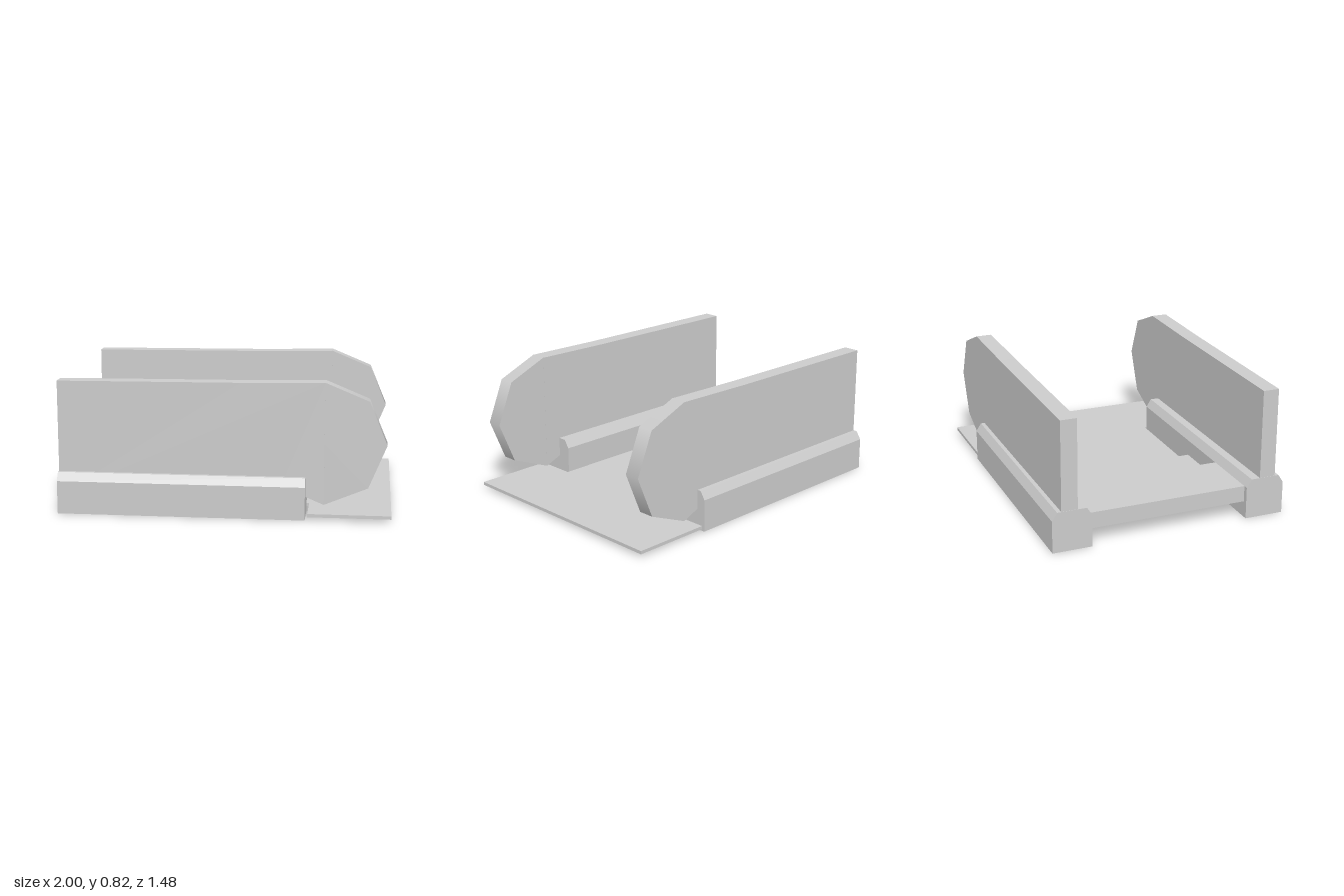
import * as THREE from 'three';

const material = new THREE.MeshStandardMaterial({ color: 0xcccccc });

function add(parent, name, geometry) {
  const mesh = new THREE.Mesh(geometry, material);
  mesh.name = name;
  parent.add(mesh);
  return mesh;
}

// Box given by its minimum and maximum corners
function slab(parent, name, [x0, y0, z0], [x1, y1, z1]) {
  const geometry = new THREE.BoxGeometry(x1 - x0, y1 - y0, z1 - z0);
  geometry.translate((x0 + x1) / 2, (y0 + y1) / 2, (z0 + z1) / 2);
  return add(parent, name, geometry);
}

// Flat outline pushed along z, centred on z = 0
function extrude(points, depth) {
  const shape = new THREE.Shape(points.map(([x, y]) => new THREE.Vector2(x, y)));
  const geometry = new THREE.ExtrudeGeometry(shape, { depth, bevelEnabled: false });
  return geometry.translate(0, 0, -depth / 2);
}

export function createModel() {
  const model = new THREE.Group();
  model.name = 'liftPlatform';

  // Side rail: chamfered section run along x
  const railSection = [
    [-0.122, 0], [0.122, 0], [0.122, 0.2], [0.09, 0.25], [-0.09, 0.25], [-0.122, 0.2],
  ];
  const railGeometry = extrude(railSection, 1.49);
  railGeometry.rotateY(Math.PI / 2).translate(-0.255, 0, 0);

  // Upright panel, ending under the octagonal end disc
  const panelGeometry = extrude([
    [-0.998, 0.1], [0.34, 0.19], [0.6, 0.087], [0.6, 0.819], [0.1, 0.81], [-0.998, 0.803],
  ], 0.1);

  // Octagonal disc with corners at top, bottom and sides
  const discGeometry = new THREE.CylinderGeometry(0.368, 0.368, 0.099, 8);
  discGeometry.rotateX(Math.PI / 2).translate(0.6, 0.452, 0);

  for (const side of [1, -1]) {
    const assembly = new THREE.Group();
    assembly.name = side > 0 ? 'frontSide' : 'backSide';
    add(assembly, 'rail', railGeometry).position.z = side * 0.617;
    add(assembly, 'panel', panelGeometry).position.z = side * 0.632;
    add(assembly, 'endDisc', discGeometry).position.z = side * 0.632;
    model.add(assembly);
  }

  // Thin T-shaped floor plate, laid flat
  const plateGeometry = extrude([
    [-0.19, -0.49], [0.505, -0.49], [0.505, -0.735], [1, -0.735],
    [1, 0.735], [0.505, 0.735], [0.505, 0.49], [-0.19, 0.49],
  ], 0.02);
  plateGeometry.rotateX(-Math.PI / 2).translate(0, 0.03, 0);
  add(model, 'floorPlate', plateGeometry);

  // Stepped cross members between the rails
  slab(model, 'lowerStep', [-0.58, 0.01, -0.497], [-0.19, 0.1, 0.497]);
  slab(model, 'upperStep', [-0.97, 0.1, -0.497], [-0.58, 0.2, 0.497]);

  return model;
}
